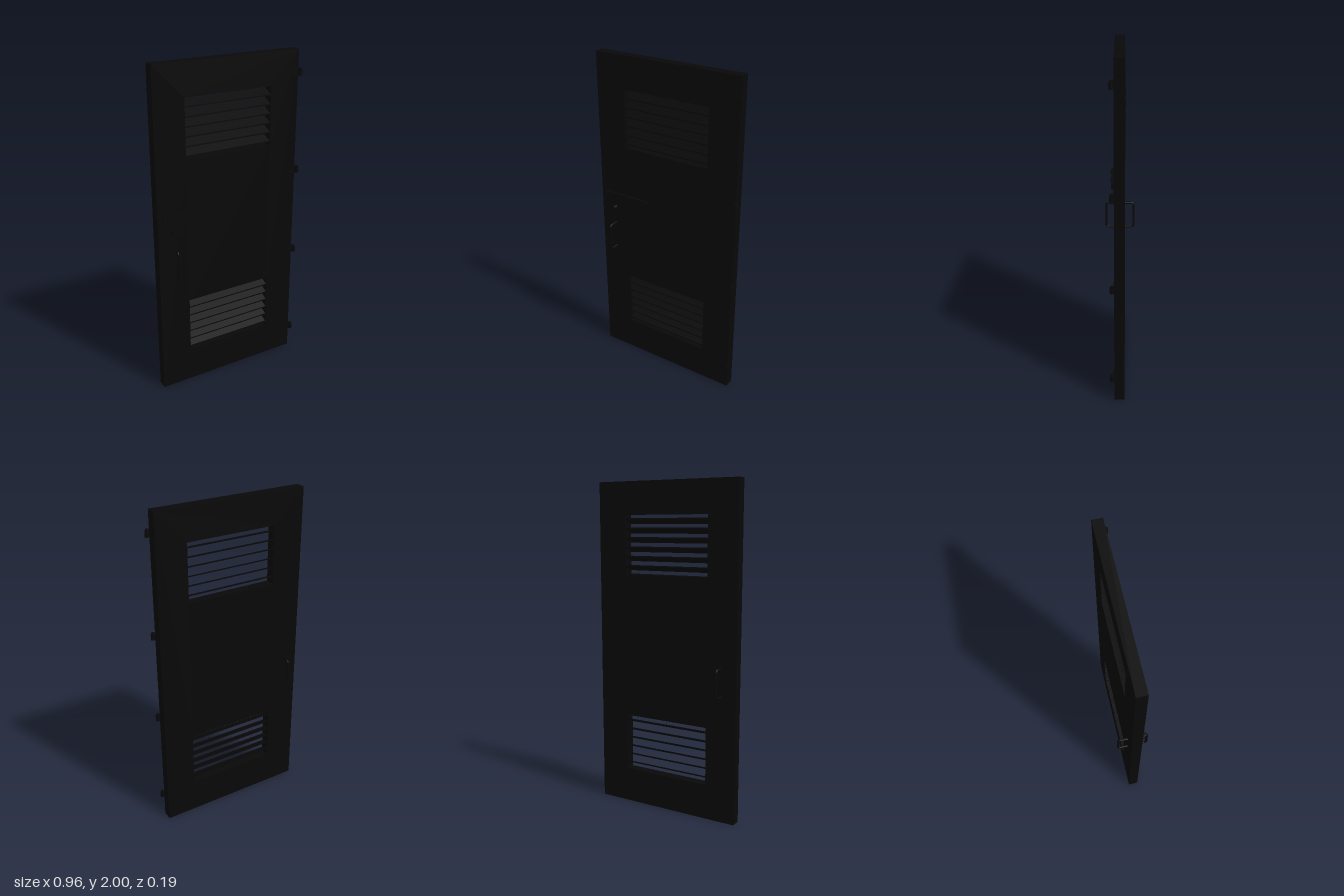
import * as THREE from 'three';

const FRONT = 0.03; // half thickness of the leaf
const LEFT = -0.29, RIGHT = 0.27; // vent opening

export function createModel() {
  const door = new THREE.Group();
  door.name = 'louveredDoor';
  const paint = new THREE.MeshStandardMaterial({ color: 0x080808 });

  const add = (name, geometry, x = 0, y = 0, z = 0, parent = door) => {
    const mesh = new THREE.Mesh(geometry, paint);
    mesh.name = name;
    mesh.position.set(x, y, z);
    parent.add(mesh);
    return mesh;
  };
  const box = (name, w, h, d, x, y, z, parent) =>
    add(name, new THREE.BoxGeometry(w, h, d), x, y, z, parent);
  const rect = (P, x0, y0, x1, y1) => new P([
    new THREE.Vector2(x0, y0), new THREE.Vector2(x1, y0),
    new THREE.Vector2(x1, y1), new THREE.Vector2(x0, y1),
  ]);

  // Door leaf with two vent openings
  const ventTops = [1.805, 0.567];
  const ventHeight = 0.353;
  const leaf = rect(THREE.Shape, -0.48, 0, 0.457, 2);
  for (const top of ventTops) leaf.holes.push(rect(THREE.Path, LEFT, top - ventHeight, RIGHT, top));
  add('doorLeaf', new THREE.ExtrudeGeometry(leaf, { depth: 2 * FRONT, bevelEnabled: false }), 0, 0, -FRONT);

  // Louver slats, sloping down towards the front
  const slat = new THREE.Shape([
    [0.033, 0], [0.033, -0.008], [-0.027, -0.035], [-0.027, -0.027],
  ].map(([a, b]) => new THREE.Vector2(a, b)));
  const slatGeometry = new THREE.ExtrudeGeometry(slat, { depth: RIGHT - LEFT, bevelEnabled: false });
  slatGeometry.rotateY(Math.PI / 2); // extrusion runs along x, profile x becomes -z
  for (const top of ventTops) {
    const vent = new THREE.Group();
    vent.name = 'vent';
    door.add(vent);
    for (let i = 0; i < 6; i++) add('louverSlat', slatGeometry, LEFT, top - 0.02 - i * 0.0555, 0, vent);
  }

  // Hinges: leaf plate, barrel and pin
  for (const y of [0.155, 0.735, 1.275, 1.87]) {
    const hinge = new THREE.Group();
    hinge.name = 'hinge';
    hinge.position.y = y;
    door.add(hinge);
    box('hingePlate', 0.055, 0.042, 0.004, 0.437, 0, 0.032, hinge);
    add('hingeBarrel', new THREE.CylinderGeometry(0.013, 0.013, 0.034, 20), 0.464, -0.004, 0.042, hinge);
    add('hingePin', new THREE.CylinderGeometry(0.009, 0.009, 0.046, 16), 0.464, 0, 0.042, hinge);
  }

  // Pull handles on both faces
  const corner = (path, a, b, c) => path.add(new THREE.QuadraticBezierCurve3(a, b, c));
  const V = (y, z) => new THREE.Vector3(0, y, z);
  const grip = new THREE.CurvePath();
  grip.add(new THREE.LineCurve3(V(0.765, 0.028), V(0.765, 0.072)));
  corner(grip, V(0.765, 0.072), V(0.765, 0.089), V(0.782, 0.089));
  grip.add(new THREE.LineCurve3(V(0.782, 0.089), V(0.916, 0.089)));
  corner(grip, V(0.916, 0.089), V(0.933, 0.089), V(0.933, 0.072));
  grip.add(new THREE.LineCurve3(V(0.933, 0.072), V(0.933, 0.028)));
  const gripGeometry = new THREE.TubeGeometry(grip, 60, 0.007, 12);
  const foot = new THREE.CylinderGeometry(0.009, 0.009, 0.008, 16).rotateX(Math.PI / 2);
  for (const turn of [0, Math.PI]) {
    const handle = new THREE.Group();
    handle.name = 'pullHandle';
    handle.position.x = -0.384;
    handle.rotation.y = turn;
    door.add(handle);
    add('handleGrip', gripGeometry, 0, 0, 0, handle);
    for (const y of [0.765, 0.933]) add('handleFoot', foot, 0, y, 0.034, handle);
  }

  // Sliding latch bar on two brackets
  box('latchBar', 0.32, 0.02, 0.018, -0.295, 1.137, 0.046);
  for (const x of [-0.42, -0.262]) box('latchBracket', 0.012, 0.024, 0.033, x, 1.137, 0.0445);

  // Lock plate and key cylinder
  box('lockPlate', 0.075, 0.12, 0.003, -0.347, 1.063, 0.031);
  add('lockCylinder', new THREE.CylinderGeometry(0.014, 0.015, 0.028, 24).rotateX(Math.PI / 2), -0.385 + 0.004, 1.043, 0.044);

  return door;
}
